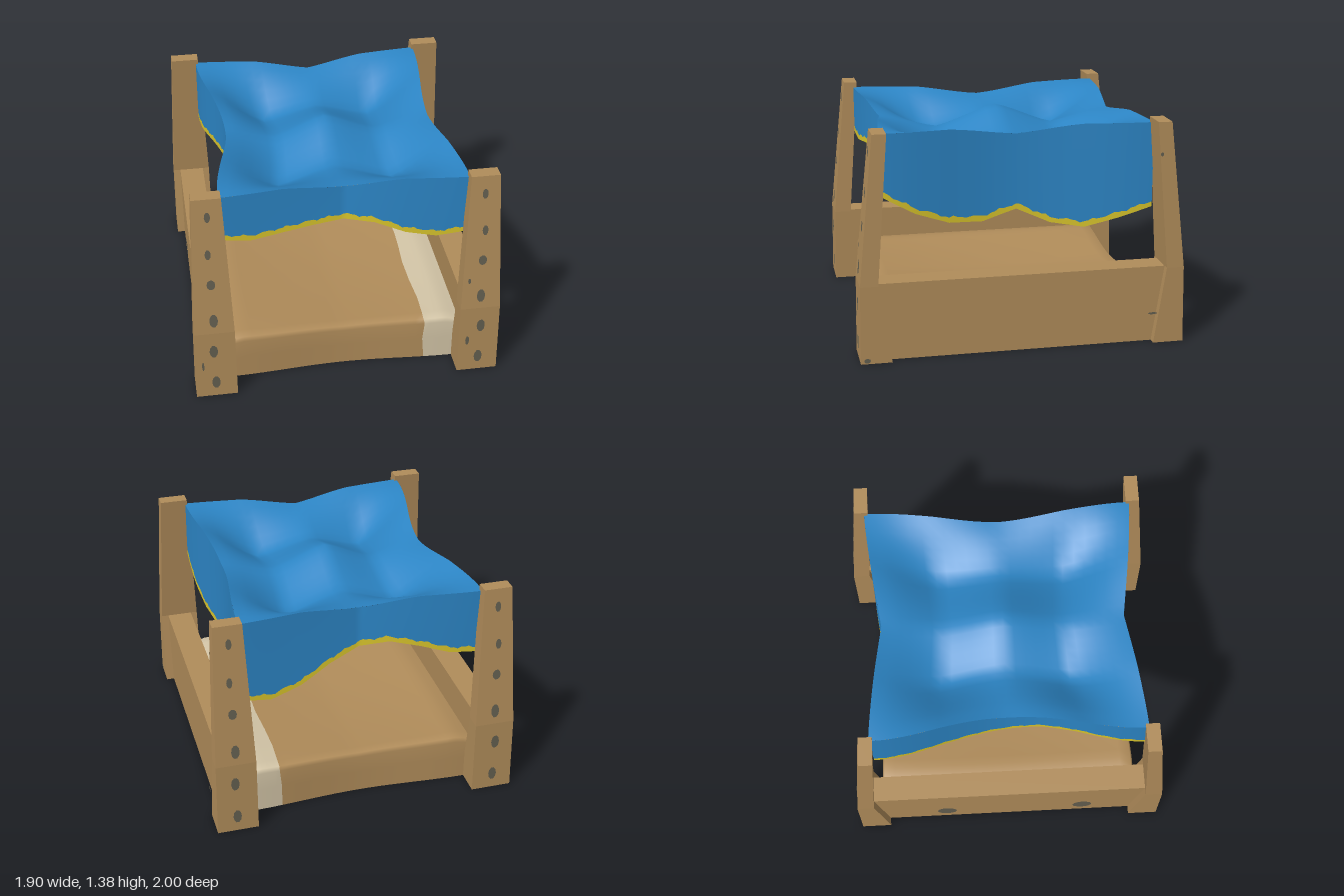
import * as THREE from 'three';

const mat = (name, color, side = THREE.DoubleSide) => {
  const m = new THREE.MeshStandardMaterial({ color, side });
  m.name = name;
  return m;
};
const wood = mat('wood and blanket brown', 0xb08c5a);
const knotMat = mat('wood knots', 0x635f50, THREE.FrontSide);
const paleCloth = mat('blanket pale', 0xd2c4a6);
const blueCloth = mat('canopy blue', 0x2c85c5);
const yellowCloth = mat('trim yellow', 0xd8c42c);

const lerp = THREE.MathUtils.lerp;
const soft = (t) => lerp(t, t * t * (3 - 2 * t), 0.4);
const bell = (t) => 0.5 + 0.5 * Math.cos(Math.PI * t);
const tent = (t) => Math.pow(1 - Math.min(1, Math.abs(t)), 1.3);

// samples evenly spaced values, t in -1..1
function sample(list, t, ease = (k) => k) {
  const f = THREE.MathUtils.clamp((t + 1) / 2, 0, 1) * (list.length - 1);
  const i = Math.min(Math.floor(f), list.length - 2);
  return lerp(list[i], list[i + 1], ease(f - i));
}

// grid surface from a rule, a and b in 0..1
function surface(name, material, na, nb, rule) {
  const pos = [], index = [];
  for (let j = 0; j <= nb; j++)
    for (let i = 0; i <= na; i++) pos.push(...rule(i / na, j / nb));
  for (let j = 0; j < nb; j++)
    for (let i = 0; i < na; i++) {
      const p = j * (na + 1) + i, q = p + na + 1;
      index.push(p, q, p + 1, p + 1, q, q + 1);
    }
  const g = new THREE.BufferGeometry();
  g.setAttribute('position', new THREE.Float32BufferAttribute(pos, 3));
  g.setIndex(index);
  g.computeVertexNormals();
  const mesh = new THREE.Mesh(g, material);
  mesh.name = name;
  return mesh;
}

// box without its underside
function openBox(w, h, d, rows) {
  const g = new THREE.BoxGeometry(w, h, d, 1, rows, 1);
  const bottom = g.groups[3];
  const index = Array.from(g.index.array);
  index.splice(bottom.start, bottom.count);
  g.setIndex(index);
  g.clearGroups();
  return g;
}

// post sections: y, inner x, outer x, inner z, outer z
const SECTIONS = [
  [0, 0.695, 0.95, 0.81, 1.0],
  [0.48, 0.697, 0.945, 0.885, 0.993],
  [1.385, 0.735, 0.91, 0.815, 0.9],
];
const frontZ = (y) => y < 0.48
  ? lerp(SECTIONS[0][4], SECTIONS[1][4], y / 0.48)
  : lerp(SECTIONS[1][4], SECTIONS[2][4], (y - 0.48) / 0.905);

function post(sx, sz) {
  let g = openBox(2, 2, 2, 2);
  const p = g.attributes.position;
  for (let i = 0; i < p.count; i++) {
    const [y, x0, x1, z0, z1] = SECTIONS[Math.round(p.getY(i)) + 1];
    p.setXYZ(i, p.getX(i) * sx > 0 ? sx * x1 : sx * x0, y, p.getZ(i) * sz > 0 ? sz * z1 : sz * z0);
  }
  g = g.toNonIndexed();
  g.computeVertexNormals();
  const mesh = new THREE.Mesh(g, wood);
  mesh.name = 'post';
  return mesh;
}

// thin oval plate lying on a face
function knot(x, y, z, w, h, yaw, tilt = 0) {
  const mesh = new THREE.Mesh(new THREE.CircleGeometry(0.5, 10), knotMat);
  mesh.name = 'knot';
  mesh.scale.set(w, h, 1);
  mesh.rotation.set(-tilt, yaw, 0, 'YXZ');
  mesh.position.set(x, y, z);
  return mesh;
}

// canopy heights from edge to centre: four hollows around a peak
const HEIGHTS = [
  [1.35, 1.35, 1.30, 1.35, 1.35],
  [1.35, 1.12, 1.22, 1.12, 1.35],
  [1.30, 1.22, 1.35, 1.22, 1.30],
];
const canopyY = (u, v) => {
  const rows = [0, 1, 2, 1, 0].map((r) => sample(HEIGHTS[r], u, soft));
  return sample(rows, v, soft);
};
// plan of the canopy, edge middles drawn inward; pull eases the front and back
const canopyXZ = (u, v, pull) => [
  u * (u < 0 ? 0.75 - 0.12 * bell(v) : 0.745 - 0.075 * bell(v)),
  v * (0.84 - 0.09 * pull * tent(u)),
];

// hem heights along each side
const SIDES = {
  front: [(t) => [t, 1], [1.05, 1.025, 1.05, 1.07, 1.08, 1.05, 0.975, 0.94, 0.965]],
  back: [(t) => [-t, -1], [0.825, 0.80, 0.86, 0.97, 1.045, 1.06, 1.01, 0.945, 0.93]],
  right: [(t) => [1, -t], [0.97, 0.85, 0.775, 0.765, 0.83, 0.735, 0.70, 0.755, 0.82]],
  left: [(t) => [-1, t], [0.93, 0.95, 0.99, 1.02, 1.07, 1.14, 1.14, 1.09, 1.05]],
};

function canopy() {
  const group = new THREE.Group();
  group.name = 'canopy';
  group.add(surface('canopyTop', blueCloth, 24, 24, (a, b) => {
    const u = 2 * a - 1, v = 2 * b - 1;
    const [x, z] = canopyXZ(u, v, 1);
    return [x, canopyY(u, v), z];
  }));
  for (const [side, [edge, hem]] of Object.entries(SIDES)) {
    // hanging cloth at a given height
    const hang = (t, y) => {
      const [u, v] = edge(t);
      const [x, z] = canopyXZ(u, v, 1 - 0.8 * (canopyY(u, v) - y));
      return [x, y, z];
    };
    const seam = (t) => sample(hem, t) + 0.034 + 0.006 * Math.sin(37 * t) + 0.004 * Math.sin(91 * t);
    const trim = (a, b) => {
      const t = 2 * a - 1;
      return hang(t, lerp(seam(t), sample(hem, t), b));
    };
    group.add(surface(side + 'Drape', blueCloth, 64, 4, (a, b) => {
      const t = 2 * a - 1;
      return hang(t, lerp(canopyY(...edge(t)), seam(t), b));
    }));
    group.add(surface(side + 'Trim', yellowCloth, 64, 1, trim));
    // plain lining behind this trim
    if (side === 'left')
      group.add(surface('leftLining', blueCloth, 64, 1, (a, b) => {
        const [x, y, z] = trim(a, b);
        return [x + 0.004, y, z];
      }));
  }
  return group;
}

// blanket: top sags slightly, sides hang to the floor
const HALF = 0.735;
const blanketY = (x, v) => {
  const u = x / HALF, e = Math.abs(u);
  const rim = e < 0.88 ? lerp(0.28, 0.30, e / 0.88) : lerp(0.30, 0.275, (e - 0.88) / 0.12);
  return rim - 0.045 * (1 - u * u) * (1 - v * v);
};
const blanketZ = (x) => 0.84 - 0.035 * bell(x / HALF);
const FOLD = [[1, 0], [1, 0.5], [1, 0.9], [0.985, 0.99], [0.9, 1], [0.7, 1], [0.45, 1], [0.2, 1], [0, 1]];
const PROFILE = [...FOLD.map(([z, y]) => [-z, y]), ...FOLD.slice(0, -1).reverse()];
const BAND = 0.51;

function blanketStrip(name, material, x0, x1, n) {
  return surface(name, material, n, PROFILE.length - 1, (a, b) => {
    const [v, k] = PROFILE[Math.round(b * (PROFILE.length - 1))];
    let x = lerp(x0, x1, a);
    if (x === BAND) x += 0.008 * Math.sin(7 * v + 9 * k);
    return [x, k * blanketY(x, v), v * blanketZ(x)];
  });
}

export function createModel() {
  const model = new THREE.Group();
  model.name = 'canopyBed';

  // posts with a column of knots on the outer faces
  for (const sx of [-1, 1])
    for (const sz of [-1, 1]) {
      const corner = new THREE.Group();
      corner.name = 'cornerPost';
      corner.add(post(sx, sz));
      [0.105, 0.345, 0.57, 0.82, 1.025, 1.27].forEach((y, i) => {
        const tilt = y < 0.48 ? 0.0146 : 0.1024;
        corner.add(knot(sx * (0.825 + 0.006 * Math.sin(i * 2)), y, sz * (frontZ(y) + 0.003),
          i < 4 ? 0.052 : 0.036, i < 3 ? 0.092 : 0.068, sz > 0 ? 0 : Math.PI, tilt));
      });
      model.add(corner);
    }
  // stray knots
  model.add(knot(0.75, 0.235, 1.0, 0.024, 0.07, 0), knot(0.745, 0.68, 0.977, 0.018, 0.04, 0, 0.1));
  model.add(knot(-0.9, 0.235, 1.0, 0.014, 0.07, 0));
  model.add(knot(0.953, 0.195, -0.8, 0.06, 0.014, Math.PI / 2));
  model.add(knot(0.953, 0.02, 0.96, 0.04, 0.03, Math.PI / 2));
  model.add(knot(0.922, 1.19, -0.84, 0.02, 0.025, Math.PI / 2));

  // side rails
  for (const s of [-1, 1]) {
    const rail = new THREE.Mesh(openBox(0.16, 0.48, 1.78, 1), wood);
    rail.name = s > 0 ? 'leftRail' : 'rightRail';
    rail.position.set(s * 0.82, 0.24, 0);
    model.add(rail);
  }
  for (const z of [-0.42, 0.49]) model.add(knot(-0.903, 0.135, z, 0.13, 0.14, -Math.PI / 2));

  // blanket with a pale band at one end
  const blanket = new THREE.Group();
  blanket.name = 'blanket';
  blanket.add(blanketStrip('blanketMain', wood, -HALF, BAND, 24));
  blanket.add(blanketStrip('blanketBand', paleCloth, BAND, HALF, 6));
  for (const s of [-1, 1])
    blanket.add(surface('blanketEnd', s > 0 ? paleCloth : wood, 8, 1, (a, b) => {
      const v = s * (1 - 2 * a), x = s * HALF;
      return [x, (1 - b) * blanketY(x, v), v * blanketZ(x)];
    }));
  model.add(blanket);

  model.add(canopy());
  return model;
}
